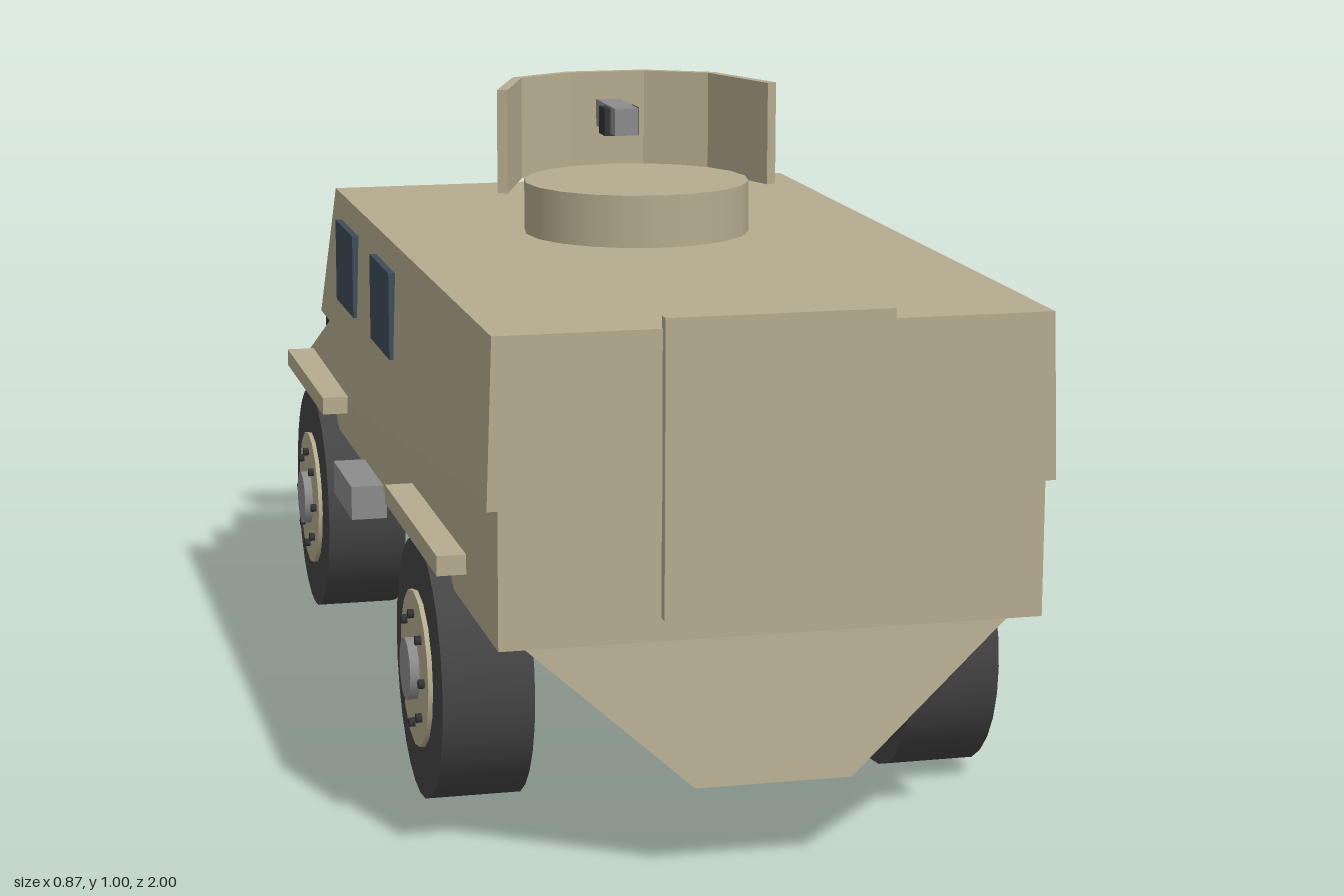
import * as THREE from 'three';

const paint = (color) => new THREE.MeshStandardMaterial({ color });
const TAN = paint(0xb5ab8e), RUBBER = paint(0x444444), DARK = paint(0x333436);
const GREY = paint(0x8c8c8c), GLASS = paint(0x3d4d59);

function add(parent, name, geometry, material, x = 0, y = 0, z = 0) {
  const mesh = new THREE.Mesh(geometry, material);
  mesh.name = name;
  mesh.position.set(x, y, z);
  parent.add(mesh);
  return mesh;
}

// Box given by its extents on each axis
function block(parent, name, material, [x0, x1], [y0, y1], [z0, z1]) {
  return add(parent, name, new THREE.BoxGeometry(x1 - x0, y1 - y0, z1 - z0), material,
    (x0 + x1) / 2, (y0 + y1) / 2, (z0 + z1) / 2);
}

// Tapered box: each level has a height, two z ends and a half-width at each end
function taperedBox(bottom, top) {
  const geo = new THREE.BoxGeometry(1, 1, 1).toNonIndexed();
  const p = geo.attributes.position;
  for (let i = 0; i < p.count; i++) {
    const level = p.getY(i) > 0 ? top : bottom;
    const end = p.getZ(i) > 0 ? 1 : 0;
    p.setXYZ(i, Math.sign(p.getX(i)) * level.w[end], level.y, level.z[end]);
  }
  geo.computeVertexNormals();
  return geo;
}

// Wheel with its outer face toward +x
function makeWheel() {
  const wheel = new THREE.Group();
  wheel.name = 'wheel';
  const disc = (name, r, x0, x1, sides, mat, y = 0, z = 0) => {
    const geo = new THREE.CylinderGeometry(r, r, x1 - x0, sides).rotateZ(-Math.PI / 2);
    return add(wheel, name, geo, mat, (x0 + x1) / 2, y, z);
  };
  disc('tyre', 0.193, 0.282, 0.416, 28, RUBBER);
  disc('rim', 0.117, 0.4, 0.423, 16, TAN);
  disc('hubCap', 0.047, 0.41, 0.437, 12, GREY);
  for (let i = 0; i < 8; i++) {
    const a = (i * Math.PI) / 4;
    disc('wheelBolt', 0.007, 0.415, 0.432, 6, DARK, 0.083 * Math.cos(a), 0.083 * Math.sin(a));
  }
  return wheel;
}

export function createModel() {
  const model = new THREE.Group();
  model.name = 'armouredCar';

  // Body: V-shaped belly, lower body with sloping nose, overhanging cabin
  add(model, 'belly', taperedBox(
    { y: 0.13, z: [-0.91, 0.985], w: [0.112, 0.112] },
    { y: 0.342, z: [-0.83, 0.955], w: [0.352, 0.352] }), TAN);
  add(model, 'lowerBody', taperedBox(
    { y: 0.342, z: [-0.957, 0.983], w: [0.385, 0.385] },
    { y: 0.54, z: [-0.503, 0.983], w: [0.37, 0.385] }), TAN);
  add(model, 'cabin', taperedBox(
    { y: 0.536, z: [-0.507, 0.985], w: [0.4, 0.4] },
    { y: 0.773, z: [-0.365, 0.985], w: [0.392, 0.392] }), TAN);

  // Door, windscreen and bumper
  block(model, 'door', TAN, [-0.16, 0.16], [0.375, 0.79], [0.98, 1]);
  const screen = add(model, 'windscreen', new THREE.BoxGeometry(0.64, 0.105, 0.012), GLASS, 0, 0.694, -0.457);
  screen.rotation.x = -0.36;
  block(model, 'bumper', DARK, [-0.32, 0.32], [0.37, 0.475], [-1, -0.964]);

  // Parts repeated on both sides
  for (const side of [1, -1]) {
    const span = (a, b) => (side > 0 ? [a, b] : [-b, -a]);
    block(model, 'bumperMount', TAN, span(0.242, 0.31), [0.432, 0.47], [-0.964, -0.948]);
    block(model, 'sideStep', GREY, span(0.38, 0.437), [0.297, 0.351], [-0.14, 0.05]);
    for (const z of [0.15, -0.205])
      block(model, 'sideWindow', GLASS, span(0.385, 0.404), [0.595, 0.73], [z - 0.09, z + 0.09]);
    for (const z of [0.54, -0.54]) {
      block(model, 'fender', TAN, span(0.37, 0.427), [0.39, 0.419], [z - 0.218, z + 0.218]);
      const wheel = makeWheel();
      wheel.position.set(0, 0.193, z);
      if (side < 0) wheel.rotation.y = Math.PI;
      model.add(wheel);
    }
  }

  // Turret ring
  const turret = new THREE.Group();
  turret.name = 'turret';
  model.add(turret);
  add(turret, 'turretRing', new THREE.CylinderGeometry(0.176, 0.176, 0.09, 20), TAN, 0, 0.808, 0.18);

  // Folded gun shield, drawn in plan and raised
  const outer = [[0.223, 0.19], [0.165, 0.03], [0.064, -0.03]];
  const inner = [[0.06, -0.014], [0.153, 0.04], [0.208, 0.196]];
  const mirror = (pts) => pts.map(([x, z]) => [-x, z]).reverse();
  const plan = [...outer, ...mirror(outer), ...mirror(inner), ...inner.slice()];
  const shape = new THREE.Shape(plan.map(([x, z]) => new THREE.Vector2(x, -z)));
  const shieldGeo = new THREE.ExtrudeGeometry(shape, { depth: 0.16, bevelEnabled: false });
  add(turret, 'gunShield', shieldGeo.rotateX(-Math.PI / 2), TAN, 0, 0.84, 0);

  // Gun
  block(turret, 'gunBody', GREY, [-0.019, 0.019], [0.913, 0.956], [-0.02, 0.117]);
  block(turret, 'gunCradle', DARK, [-0.028, 0.028], [0.909, 0.953], [0.045, 0.085]);
  add(turret, 'gunBarrel', new THREE.CylinderGeometry(0.011, 0.011, 0.37, 10).rotateX(Math.PI / 2),
    DARK, 0, 0.942, -0.183);

  return model;
}
